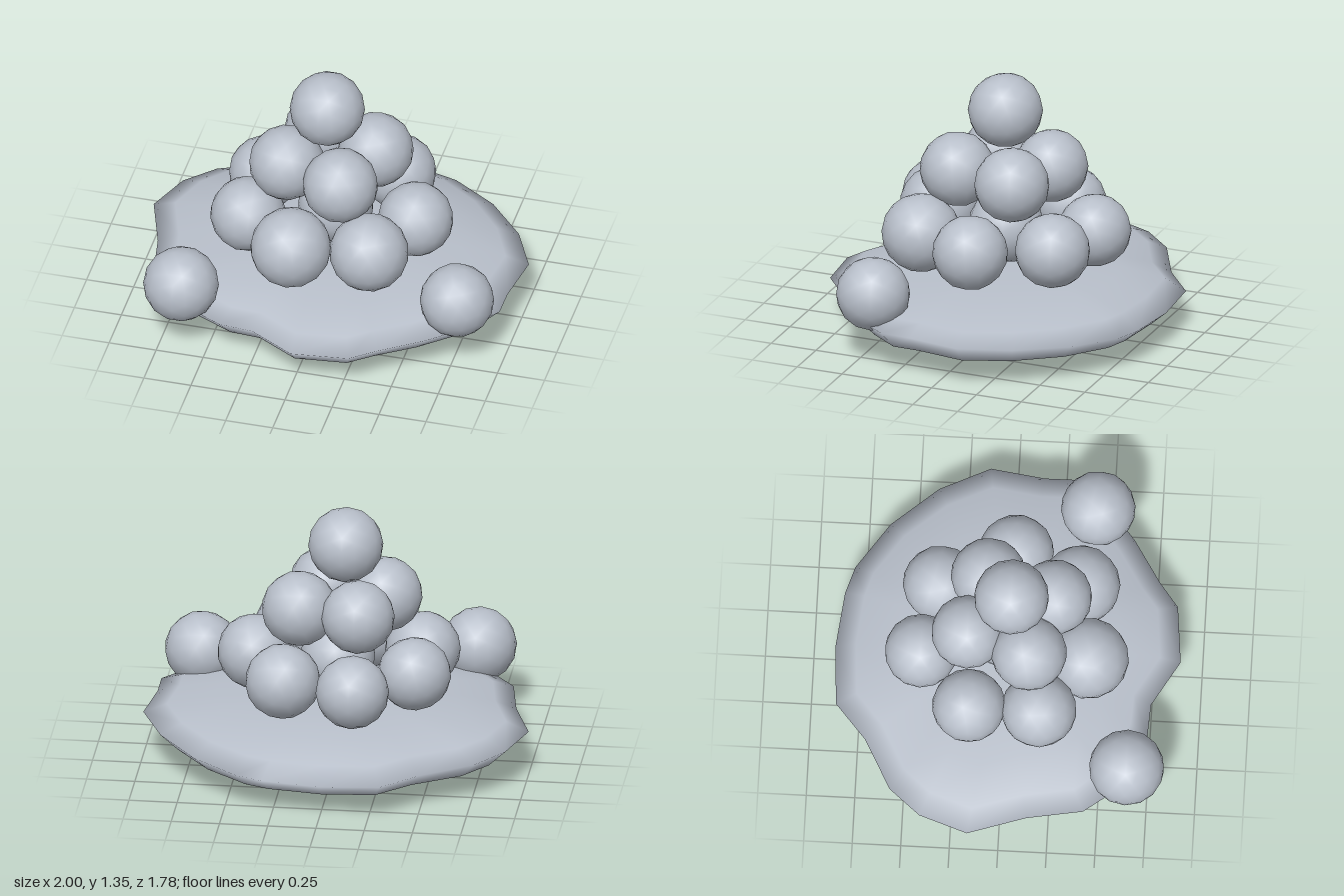
import * as THREE from 'three';
import { mergeVertices } from 'three/addons/utils/BufferGeometryUtils.js';

// Rim of the cushion seen from above, as x, z pairs running from the back round by the left side
const RIM = [
  [0, -0.89], [0.3, -0.855], [0.44, -0.81], [0.68, -0.64], [0.88, -0.4], [1, -0.14],
  [0.96, 0.14], [0.96, 0.3], [0.82, 0.48], [0.65, 0.62], [0.43, 0.76], [0.3, 0.86],
  [0, 0.89], [-0.24, 0.75], [-0.42, 0.74], [-0.72, 0.6], [-0.85, 0.43], [-0.9, 0.14],
  [-1, -0.16], [-0.91, -0.41], [-0.77, -0.57], [-0.5, -0.71], [-0.31, -0.87],
];

// Cushion profile from the underside to the crown: share of the rim radius, height
const PROFILE = [
  [0, 0], [0.35, 0.025], [0.7, 0.06], [0.9, 0.115], [1, 0.2],
  [0.88, 0.265], [0.65, 0.318], [0.35, 0.345], [0, 0.35],
];

// Ball positions and radii: x, y, z, r
const LOWER = [
  [-0.12, 0.53, -0.44, 0.19], [0.25, 0.54, -0.36, 0.195], [-0.41, 0.54, -0.18, 0.19],
  [0.44, 0.54, 0.02, 0.195], [-0.41, 0.53, 0.18, 0.195], [-0.12, 0.54, 0.42, 0.21],
  [0.28, 0.54, 0.36, 0.205], [0.01, 0.54, 0, 0.195],
];
const MIDDLE = [
  [-0.12, 0.85, -0.2, 0.19], [0.195, 0.845, -0.11, 0.195],
  [-0.22, 0.85, 0.12, 0.195], [0.095, 0.845, 0.235, 0.195],
];
const TOP = [[-0.03, 1.158, 0.02, 0.194]];
const LOOSE = [[-0.645, 0.37, 0.645, 0.195], [0.765, 0.37, 0.425, 0.192]];

function cushionGeometry() {
  const n = RIM.length, positions = [], index = [];
  PROFILE.forEach(([s, h], j) => {
    RIM.forEach(([x, z], i) => {
      // The rim lifts at both sides and dips at the back
      const lift = (0.04 * x * x + 0.018 * z) * s ** 6;
      positions.push(x * s, h + lift, z * s);
      if (j + 1 < PROFILE.length) {
        const a = j * n + i, b = j * n + (i + 1) % n;
        index.push(a, a + n, b, b, a + n, b + n);
      }
    });
  });
  let geometry = new THREE.BufferGeometry();
  geometry.setAttribute('position', new THREE.Float32BufferAttribute(positions, 3));
  geometry.setIndex(index);
  geometry = mergeVertices(geometry);
  geometry.computeVertexNormals();
  return geometry;
}

export function createModel() {
  const model = new THREE.Group();
  model.name = 'ballPile';
  const grey = new THREE.MeshStandardMaterial({ color: 0xb8bfca });
  grey.name = 'paleGrey';

  const cushion = new THREE.Mesh(cushionGeometry(), grey);
  cushion.name = 'cushion';
  model.add(cushion);

  // Each tier of balls, every ball turned a little differently
  const ball = new THREE.IcosahedronGeometry(1, 2);
  const tiers = { lowerBalls: LOWER, middleBalls: MIDDLE, topBall: TOP, looseBalls: LOOSE };
  for (const [name, balls] of Object.entries(tiers)) {
    const tier = new THREE.Group();
    tier.name = name;
    balls.forEach(([x, y, z, r], i) => {
      const mesh = new THREE.Mesh(ball, grey);
      mesh.name = 'ball' + (i + 1);
      mesh.position.set(x, y, z);
      mesh.scale.setScalar(r);
      mesh.rotation.set(i * 0.7, i * 1.3, i * 0.4);
      tier.add(mesh);
    });
    model.add(tier);
  }
  return model;
}
